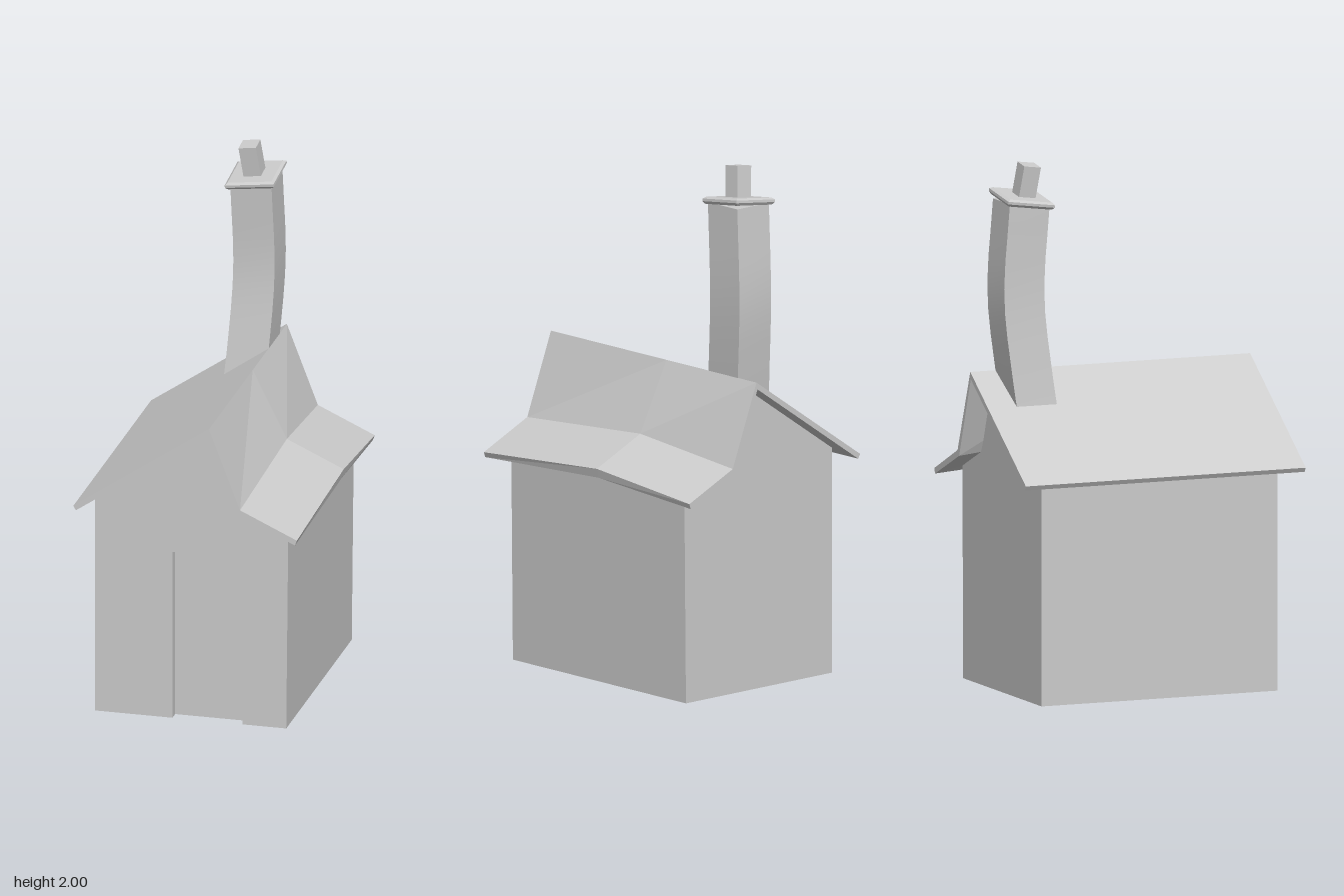
import * as THREE from 'three';

const mat = new THREE.MeshStandardMaterial({ color: 0xcccccc, flatShading: true, side: THREE.DoubleSide });
const smoothMat = new THREE.MeshStandardMaterial({ color: 0xcccccc });

function add(parent, name, geometry, material = mat) {
  const mesh = new THREE.Mesh(geometry, material);
  mesh.name = name;
  parent.add(mesh);
  return mesh;
}

const flat = (pts) => new THREE.ShapeGeometry(new THREE.Shape(pts.map(([x, y]) => new THREE.Vector2(x, y))));

// Closed solid through equal cross-sections, listed from +z to -z, each counter-clockwise
function loft(rings) {
  const n = rings[0].length, last = (rings.length - 1) * n, index = [];
  for (let i = 0; i < rings.length - 1; i++) {
    for (let j = 0; j < n; j++) {
      const a = i * n + j, b = i * n + (j + 1) % n;
      index.push(a, a + n, b + n, a, b + n, b);
    }
  }
  const contour = rings[0].map(([x, y]) => new THREE.Vector2(x, y));
  for (const [a, b, c] of THREE.ShapeUtils.triangulateShape(contour, [])) {
    index.push(a, b, c, last + a, last + c, last + b);
  }
  const g = new THREE.BufferGeometry();
  g.setAttribute('position', new THREE.Float32BufferAttribute(rings.flat(2), 3));
  g.setIndex(index);
  g.computeVertexNormals();
  return g;
}

// Roof cross-section; rise lifts the kinked right slope
function roofSection(z, rise) {
  const lift = 0.05 * rise, out = 0.012 * rise;
  return [
    [-0.43, 0.83, z], [0.08, 1.178, z],
    [0.19 + out, 0.872 + lift, z], [0.418 + out, 0.772 + lift * 0.7, z],
    [0.425 + out, 0.792 + lift, z], [0.205 + out, 0.892 + lift, z],
    [0.085, 1.205, z], [-0.44, 0.847, z],
  ];
}

export function createModel() {
  const model = new THREE.Group();
  const D = 0.48, doorL = -0.08, doorR = 0.19, doorH = 0.665, recess = 0.04;

  // Walls: an open-bottomed shell
  const walls = new THREE.Group();
  walls.name = 'walls';
  model.add(walls);
  const gable = [[0.36, 0], [0.368, 0.803], [0.197, 0.882], [0.08, 1.185], [-0.38, 0.871], [-0.38, 0]];
  const doorway = [[doorL, 0], [doorL, doorH], [doorR, doorH], [doorR, 0]];
  add(walls, 'frontWall', flat([...gable, ...doorway]).translate(0, 0, D));
  add(walls, 'backWall', flat(gable).rotateY(Math.PI).scale(-1, 1, 1).translate(0, 0, -D));
  add(walls, 'rightSlopeWall', flat([[-D, 0], [D, 0], [D, 0.803], [0.07, 0.84], [-D, 0.803]])
    .rotateY(Math.PI / 2).rotateZ(-0.01).translate(0.36, 0, 0));
  add(walls, 'leftSlopeWall', flat([[-D, 0], [D, 0], [D, 0.871], [-D, 0.871]])
    .rotateY(-Math.PI / 2).translate(-0.38, 0, 0));

  // Recessed door with its jambs and lintel
  const door = new THREE.Group();
  door.name = 'door';
  model.add(door);
  const doorW = doorR - doorL, midX = (doorL + doorR) / 2, midZ = D - recess / 2;
  add(door, 'doorPanel', new THREE.PlaneGeometry(doorW, doorH).translate(midX, doorH / 2, D - recess));
  for (const [x, turn] of [[doorL, 1], [doorR, -1]]) {
    add(door, 'doorJamb', new THREE.PlaneGeometry(recess, doorH)
      .rotateY(turn * Math.PI / 2).translate(x, doorH / 2, midZ));
  }
  add(door, 'doorLintel', new THREE.PlaneGeometry(doorW, recess)
    .rotateX(Math.PI / 2).translate(midX, doorH, midZ));

  // Roof with a raised middle on the kinked side
  add(model, 'roof', loft([roofSection(0.57, 0), roofSection(-0.07, 1), roofSection(-0.57, 0)]));

  // Chimney: a box bent along a gentle curve
  const chimney = new THREE.Group();
  chimney.name = 'chimney';
  model.add(chimney);
  const bend = new THREE.CatmullRomCurve3([
    new THREE.Vector3(-0.012, 1.0, -0.36), new THREE.Vector3(0.005, 1.2, -0.385),
    new THREE.Vector3(0.021, 1.5, -0.412), new THREE.Vector3(0.014, 1.855, -0.392),
  ]);
  const stack = new THREE.BoxGeometry(0.16, 1, 0.163, 1, 10, 1);
  const pos = stack.attributes.position, p = new THREE.Vector3();
  for (let i = 0; i < pos.count; i++) {
    bend.getPoint(pos.getY(i) + 0.5, p);
    pos.setXYZ(i, pos.getX(i) + p.x, p.y, pos.getZ(i) + p.z);
  }
  stack.computeVertexNormals();
  add(chimney, 'chimneyStack', stack, smoothMat);

  // Tilted cap slab with bevelled edges, and the pot on it
  const profile = [[0, -0.014], [0.088, -0.014], [0.096, -0.004], [0.096, 0.006], [0.086, 0.013], [0, 0.013]]
    .map(([r, y]) => new THREE.Vector2(r * Math.SQRT2, y));
  const cap = add(chimney, 'chimneyCap', new THREE.LatheGeometry(profile, 4).rotateY(Math.PI / 4));
  cap.position.set(0.012, 1.862, -0.391);
  const pot = add(chimney, 'chimneyPot', new THREE.BoxGeometry(0.068, 0.15, 0.068));
  pot.position.set(0.003, 1.917, -0.379);
  for (const part of [cap, pot]) part.rotation.set(0.13, 0, 0.13);

  return model;
}
